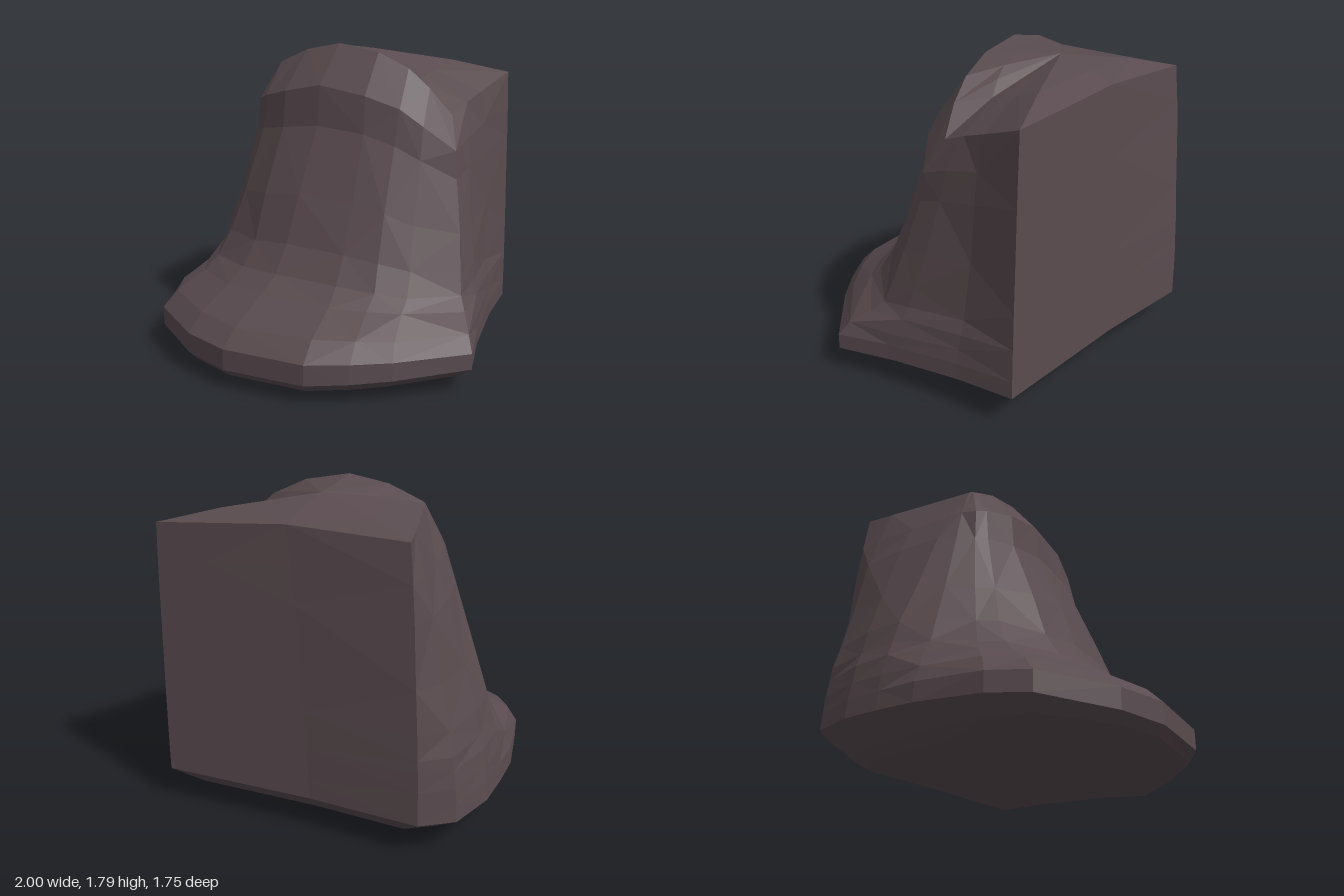
import * as THREE from 'three';

// Columns run round the boulder: foot x, foot z, crown x, crown z, crown y, front weight
const columns = [
  [0.75, -0.84, 0.72, -0.84, 1.61, 0], // back right corner
  [0.4, -0.84, 0.45, -0.84, 1.63, 0],
  [-0.1, -0.84, 0, -0.83, 1.66, 0],
  [-0.71, -0.88, -0.62, -0.82, 1.63, 0], // back left corner
  [-0.88, -0.76, -0.59, -0.66, 1.635, 0],
  [-0.97, -0.48, -0.54, -0.42, 1.645, 0],
  [-0.99, -0.25, -0.48, -0.14, 1.66, 0], // left ridge
  [-1, 0, -0.47, -0.13, 1.665, 0.5],
  [-0.95, 0.38, -0.46, -0.13, 1.67, 1], // left hollow
  [-0.85, 0.58, -0.39, -0.13, 1.7, 1],
  [-0.45, 0.8, -0.27, -0.13, 1.75, 1], // front
  [-0.15, 0.87, -0.05, -0.14, 1.79, 1],
  [0.33, 0.81, 0.2, -0.16, 1.745, 1],
  [0.53, 0.68, 0.38, -0.19, 1.66, 0.85],
  [0.7, 0.54, 0.5, -0.22, 1.55, 0.8],
  [1, 0.22, 0.62, -0.27, 1.4, 1], // right spur
  [0.9, -0.08, 0.64, -0.42, 1.46, 0.5],
  [0.8, -0.5, 0.66, -0.57, 1.51, 0.5],
];

// Levels: height fraction, then how far front and side have moved from foot to crown
const levels = [
  [0, 0, 0], [0.07, 0, 0.02], [0.13, 0.1, 0.04], [0.2, 0.31, 0.08],
  [0.25, 0.42, 0.13], [0.34, 0.52, 0.2], [0.5, 0.63, 0.38],
  [0.73, 0.78, 0.6], [0.86, 0.81, 0.77], [1, 1, 1],
];

const SUMMIT = [-0.03, 1.75, -0.48];

function seeded(seed) {
  return () => {
    seed = (seed * 16807) % 2147483647;
    return seed / 2147483647 - 0.5;
  };
}

function boulderGeometry() {
  const { lerp } = THREE.MathUtils;
  const rand = seeded(4711);
  const rings = [];

  // Underside, tucked further in at the back and lowest on the left
  for (const [scale, taper, y, tilt] of [[0.8, 0.03, 0.03, 0.03], [0.89, 0.065, 0.06, 0.015]]) {
    rings.push(columns.map(([x, z]) => {
      const s = scale + taper * z;
      return [x * s, y + tilt * x * (1 - Math.abs(z)), z * s];
    }));
  }

  // Flared foot rising to the crown rim, with slight unevenness on the slopes
  levels.forEach(([f, front, side], k) => {
    const rough = k > 1 && k < levels.length - 1 ? 0.015 : 0;
    rings.push(columns.map(([fx, fz, cx, cz, cy, w], i) => {
      const t = lerp(side, front, w);
      const r = i < 4 ? 0 : rough;
      return [
        lerp(fx, cx, t) + rand() * r,
        lerp(0.15 - 0.05 * fz, cy, f) + rand() * r,
        lerp(fz, cz, t) + rand() * r,
      ];
    }));
  });

  // Plateau edge, so the top falls away more steeply near the rim
  rings.push(columns.map(([, , cx, cz, cy]) => [
    lerp(cx, SUMMIT[0], 0.4), lerp(cy, SUMMIT[1], 0.5), lerp(cz, SUMMIT[2], 0.4),
  ]));

  const n = columns.length;
  const points = rings.flat();
  const index = [];
  for (let k = 0; k < rings.length - 1; k++) {
    for (let i = 0; i < n; i++) {
      const j = (i + 1) % n;
      const a = k * n + i, b = k * n + j, c = a + n, d = b + n;
      if ((i + k) % 2) index.push(a, b, d, a, d, c);
      else index.push(a, b, c, b, d, c);
    }
  }

  // Close the bottom and the plateau
  const bottom = points.push([-0.05, 0.03, 0]) - 1;
  const top = points.push(SUMMIT) - 1;
  const rim = (rings.length - 1) * n;
  for (let i = 0; i < n; i++) {
    const j = (i + 1) % n;
    index.push(bottom, j, i, top, rim + i, rim + j);
  }

  const indexed = new THREE.BufferGeometry();
  indexed.setAttribute('position', new THREE.Float32BufferAttribute(points.flat(), 3));
  indexed.setIndex(index);
  const geometry = indexed.toNonIndexed(); // one normal per facet
  geometry.computeVertexNormals();
  return geometry;
}

export function createModel() {
  const stone = new THREE.MeshStandardMaterial({ color: 0x594b4f });
  stone.name = 'stone';
  const boulder = new THREE.Mesh(boulderGeometry(), stone);
  boulder.name = 'boulder';
  const group = new THREE.Group();
  group.name = 'rock';
  group.add(boulder);
  return group;
}
